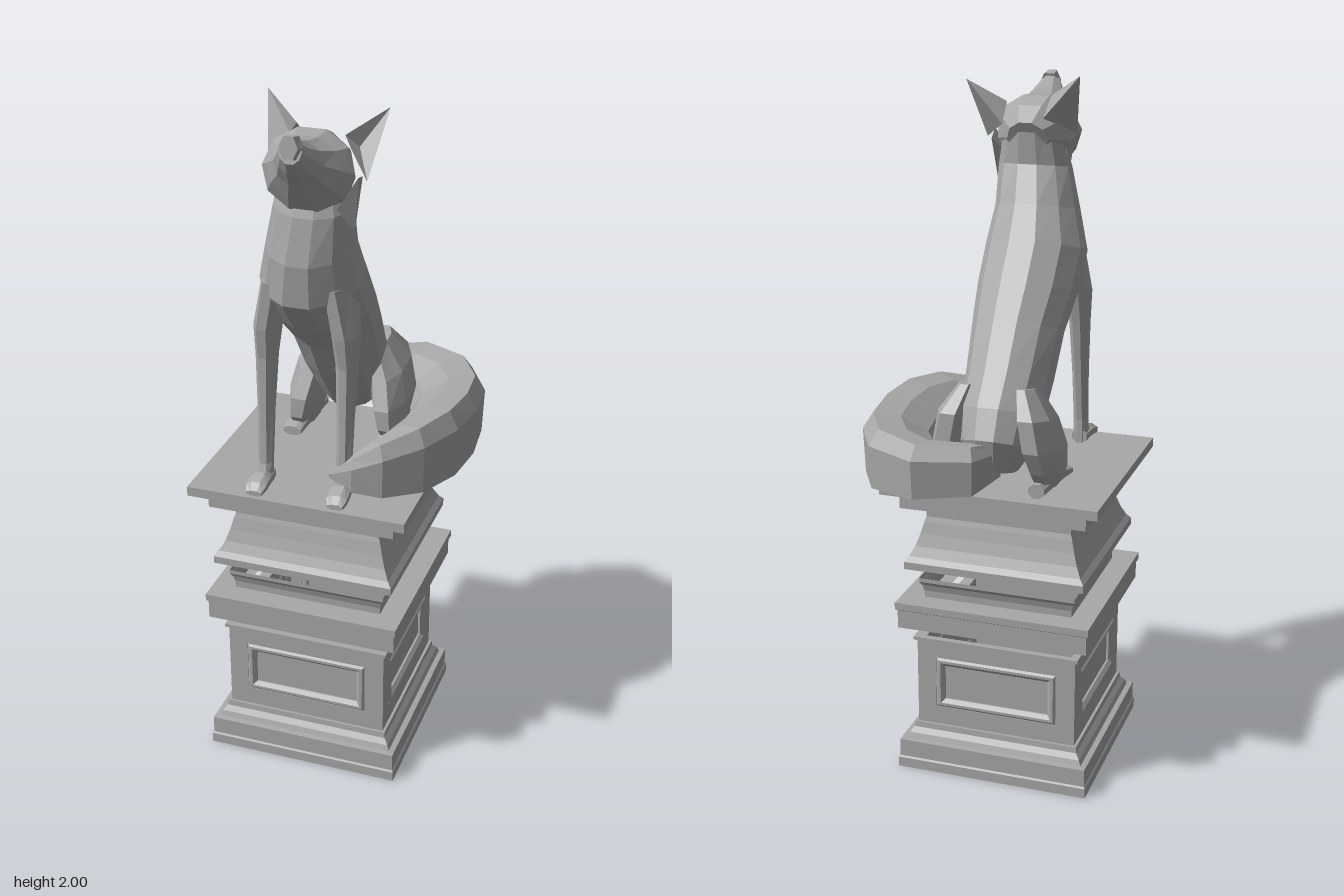
import * as THREE from 'three';

const stone = new THREE.MeshStandardMaterial({ color: 0xa8a8a8, side: THREE.DoubleSide });
stone.name = 'grey stone';
const CX = -0.045; // mirror plane of the animal

// Faceted mesh with one colour
function part(name, geo, parent) {
  const g = geo.index ? geo.toNonIndexed() : geo;
  g.computeVertexNormals();
  const m = new THREE.Mesh(g, stone);
  m.name = name;
  parent.add(m);
  return m;
}

// Geometry from points and triangles, turned outward by its signed volume
function solid(points, faces) {
  let volume = 0;
  for (const [a, b, c] of faces) {
    volume += points[a].dot(points[b].clone().cross(points[c]));
  }
  const pos = [];
  for (const [a, b, c] of faces) {
    for (const i of volume < 0 ? [a, c, b] : [a, b, c]) pos.push(...points[i].toArray());
  }
  const g = new THREE.BufferGeometry();
  g.setAttribute('position', new THREE.Float32BufferAttribute(pos, 3));
  return g;
}

// Skin closed rings of points and cap both ends
function skin(rings) {
  const n = rings[0].length, points = rings.flat(), faces = [];
  for (let r = 0; r < rings.length - 1; r++) {
    for (let i = 0; i < n; i++) {
      const a = r * n + i, b = r * n + (i + 1) % n;
      faces.push([a, b, b + n], [a, b + n, a + n]);
    }
  }
  const last = (rings.length - 1) * n;
  for (let i = 1; i < n - 1; i++) faces.push([0, i + 1, i], [last, last + i, last + i + 1]);
  return solid(points, faces);
}

// Rows: [x, halfWidth, z1, y1, z2, y2]; the two points are opposite ends in profile
function loft(rows, sides = 10) {
  return skin(rows.map(([x, w, z1, y1, z2, y2]) => Array.from({ length: sides }, (_, i) => {
    const a = (i + 0.5) / sides * Math.PI * 2, s = (1 + Math.cos(a)) / 2;
    return new THREE.Vector3(x + w * Math.sin(a), y2 + (y1 - y2) * s, z2 + (z1 - z2) * s);
  })));
}
const flip = rows => rows.map(([x, ...rest]) => [2 * CX - x, ...rest]);

function rectangle(w, y0, y1, Type = THREE.Shape) {
  return new Type([[-w, y0], [w, y0], [w, y1], [-w, y1]].map(p => new THREE.Vector2(...p)));
}

function buildPedestal() {
  const g = new THREE.Group();
  g.name = 'pedestal';
  g.position.set(-0.042, 0, 0.032);
  // Square mouldings: [halfWidth, y] from bottom to top
  const mouldings = {
    base: [[0, 0.015], [0.27, 0.015], [0.27, 0], [0.288, 0], [0.288, 0.03], [0.284, 0.035], [0.284, 0.088],
      [0.268, 0.09], [0.262, 0.105], [0.25, 0.12], [0.248, 0.137], [0.24, 0.137]],
    dieCap: [[0.24, 0.403], [0.249, 0.405], [0.249, 0.415], [0.23, 0.415]],
    lowerCornice: [[0.24, 0.455], [0.283, 0.455], [0.283, 0.51], [0.289, 0.514], [0.289, 0.535], [0.222, 0.535],
      [0.222, 0.555], [0.228, 0.575], [0.234, 0.585], [0.234, 0.597]],
    flare: [[0.245, 0.635], [0.267, 0.635], [0.267, 0.657], [0.255, 0.672], [0.241, 0.7], [0.229, 0.735],
      [0.22, 0.77], [0.215, 0.785], [0.215, 0.8]],
    topSlab: [[0.22, 0.825], [0.273, 0.825], [0.273, 0.877], [0.317, 0.877], [0.317, 0.905], [0, 0.905]],
  };
  for (const [name, profile] of Object.entries(mouldings)) {
    const pts = profile.map(([r, y]) => new THREE.Vector2(r * Math.SQRT2, y));
    part(name, new THREE.LatheGeometry(pts, 4).rotateY(Math.PI / 4), g);
  }
  // Panelled walls of the die
  for (let i = 0; i < 4; i++) {
    const side = new THREE.Group();
    side.name = 'panelledSide';
    side.rotation.y = i * Math.PI / 2;
    const frame = (name, outer, hole, z, options) => {
      const s = rectangle(...outer);
      s.holes.push(rectangle(...hole, THREE.Path));
      part(name, new THREE.ExtrudeGeometry(s, { bevelEnabled: false, ...options }).translate(0, 0, z), side);
    };
    frame('wall', [0.24, 0.135, 0.405], [0.183, 0.194, 0.353], 0.222, { depth: 0.018 });
    frame('panelFrame', [0.176, 0.201, 0.346], [0.168, 0.209, 0.338], 0.23,
      { depth: 0.004, bevelEnabled: true, bevelSize: 0.011, bevelThickness: 0.01, bevelSegments: 1 });
    part('panel', new THREE.ShapeGeometry(rectangle(0.183, 0.194, 0.353)).translate(0, 0, 0.226), side);
    g.add(side);
  }
  return g;
}

function buildFox() {
  const g = new THREE.Group();
  g.name = 'sittingFox';

  part('torso', loft([
    [-0.02, 0.085, 0.13, 1.87, 0.28, 1.80],
    [-0.02, 0.107, 0.14, 1.75, 0.305, 1.72],
    [-0.035, 0.122, 0.08, 1.65, 0.32, 1.59],
    [CX, 0.145, 0.015, 1.56, 0.305, 1.47],
    [CX, 0.143, -0.06, 1.46, 0.22, 1.37],
    [CX, 0.13, -0.13, 1.37, 0.11, 1.27],
    [-0.05, 0.122, -0.22, 1.26, 0.03, 1.155],
    [-0.052, 0.115, -0.3, 1.17, -0.04, 1.07],
    [-0.055, 0.1, -0.338, 1.09, -0.11, 0.99],
    [-0.055, 0.06, -0.31, 0.99, -0.17, 0.96],
  ], 12), g);

  // Limbs, described on one side and mirrored
  const limbs = {
    frontLeg: [
      [-0.13, 0.04, 0.09, 1.52, 0.285, 1.52],
      [-0.156, 0.037, 0.155, 1.38, 0.275, 1.38],
      [-0.16, 0.03, 0.175, 1.29, 0.26, 1.29],
      [-0.16, 0.024, 0.203, 1.13, 0.262, 1.13],
      [-0.16, 0.022, 0.225, 0.98, 0.268, 0.97],
      [-0.16, 0.024, 0.225, 0.91, 0.285, 0.92],
    ],
    frontPaw: [
      [-0.16, 0.024, 0.23, 0.95, 0.23, 0.905],
      [-0.162, 0.031, 0.285, 0.955, 0.285, 0.905],
      [-0.163, 0.032, 0.32, 0.942, 0.32, 0.905],
      [-0.163, 0.024, 0.337, 0.922, 0.337, 0.905],
    ],
    thigh: [
      [-0.125, 0.03, -0.24, 1.21, -0.11, 1.19],
      [-0.155, 0.055, -0.3, 1.14, -0.07, 1.1],
      [-0.172, 0.057, -0.305, 1.05, -0.035, 1.02],
      [-0.18, 0.046, -0.27, 0.98, -0.035, 0.96],
      [-0.18, 0.032, -0.22, 0.92, -0.07, 0.92],
    ],
    hindPaw: [
      [-0.175, 0.025, -0.25, 0.95, -0.25, 0.905],
      [-0.185, 0.032, -0.1, 0.96, -0.1, 0.905],
      [-0.19, 0.03, -0.035, 0.935, -0.035, 0.905],
    ],
  };
  for (const [name, rows] of Object.entries(limbs)) {
    part(name + 'Right', loft(rows, 8), g);
    part(name + 'Left', loft(flip(rows), 8), g);
  }

  // Head, from nape to nose
  part('head', loft([
    [-0.02, 0.06, 0.12, 1.87, 0.17, 1.77],
    [-0.02, 0.108, 0.165, 1.915, 0.245, 1.705],
    [-0.022, 0.125, 0.215, 1.937, 0.295, 1.735],
    [-0.018, 0.1, 0.27, 1.932, 0.33, 1.78],
    [-0.012, 0.066, 0.335, 1.94, 0.365, 1.825],
    [-0.006, 0.045, 0.39, 1.957, 0.41, 1.87],
    [-0.003, 0.031, 0.42, 1.97, 0.435, 1.905],
  ]), g);
  part('nose', loft([
    [-0.002, 0.031, 0.405, 1.975, 0.43, 1.912],
    [-0.002, 0.025, 0.44, 1.982, 0.446, 1.918],
  ], 6), g);
  for (const s of [-1, 1]) {
    const label = s < 0 ? 'Right' : 'Left', low = s < 0 ? 0 : 0.02;
    const p = (x, y, z) => new THREE.Vector3(-0.008 + s * x, y - low, z);
    // Hollow ear: inner base, outer base, back, tip, hollow
    const ear = [p(0.065, 1.935, 0.195), p(0.133, 1.83, 0.225), p(0.06, 1.88, 0.135),
      p(0.165, 2.0, 0.135), p(0.095, 1.9, 0.17)];
    part('ear' + label, solid(ear, [[0, 2, 3], [2, 1, 3], [0, 3, 4], [3, 1, 4], [0, 4, 1], [0, 1, 2]]), g);
    // Pointed cheek fur
    const tuft = [p(0.122, 1.85, 0.26), p(0.11, 1.83, 0.19), p(0.06, 1.75, 0.27), p(0.106, 1.705, 0.238)];
    part('cheekTuft' + label, solid(tuft, [[0, 1, 2], [0, 3, 1], [1, 3, 2], [2, 3, 0]]), g);
    const eye = part('eye' + label, new THREE.CylinderGeometry(0.016, 0.016, 0.008, 6)
      .rotateX(Math.PI / 2).scale(1.2, 0.7, 1), g);
    eye.position.set(-0.016 + s * 0.092, 1.868, 0.283);
    eye.rotation.set(-0.5, s * 0.95, 0);
  }

  // Bushy tail curled round the left side: [x, y, z, halfWidth, halfHeight]
  const path = [
    [-0.06, 1.02, -0.26, 0.04, 0.05], [0.0, 1.01, -0.315, 0.085, 0.07], [0.1, 1.01, -0.345, 0.102, 0.078],
    [0.185, 1.005, -0.29, 0.112, 0.088], [0.24, 1.002, -0.195, 0.108, 0.094], [0.253, 1.006, -0.08, 0.104, 0.1],
    [0.243, 1.009, 0.04, 0.1, 0.104], [0.205, 1.006, 0.14, 0.09, 0.1], [0.14, 0.995, 0.21, 0.07, 0.082],
    [0.085, 0.98, 0.245, 0.042, 0.05], [0.03, 0.97, 0.262, 0.006, 0.006],
  ];
  // Cross-section as [outward, up]: steep outside, sloping down to the inside
  const section = [[0.95, -0.9], [1, 0.5], [0.72, 1], [0, 0.88], [-0.7, 0.4], [-1, -0.2], [-0.8, -0.8], [0, -1]];
  part('tail', skin(path.map(([x, y, z, w, h], k) => {
    const a = path[Math.max(k - 1, 0)], b = path[Math.min(k + 1, path.length - 1)];
    const out = new THREE.Vector3(b[2] - a[2], 0, a[0] - b[0]).normalize();
    return section.map(([u, v]) => new THREE.Vector3(x, y + h * v, z).addScaledVector(out, w * u));
  })), g);
  return g;
}

export function createModel() {
  const model = new THREE.Group();
  model.name = 'foxStatue';
  model.add(buildPedestal(), buildFox());
  return model;
}
